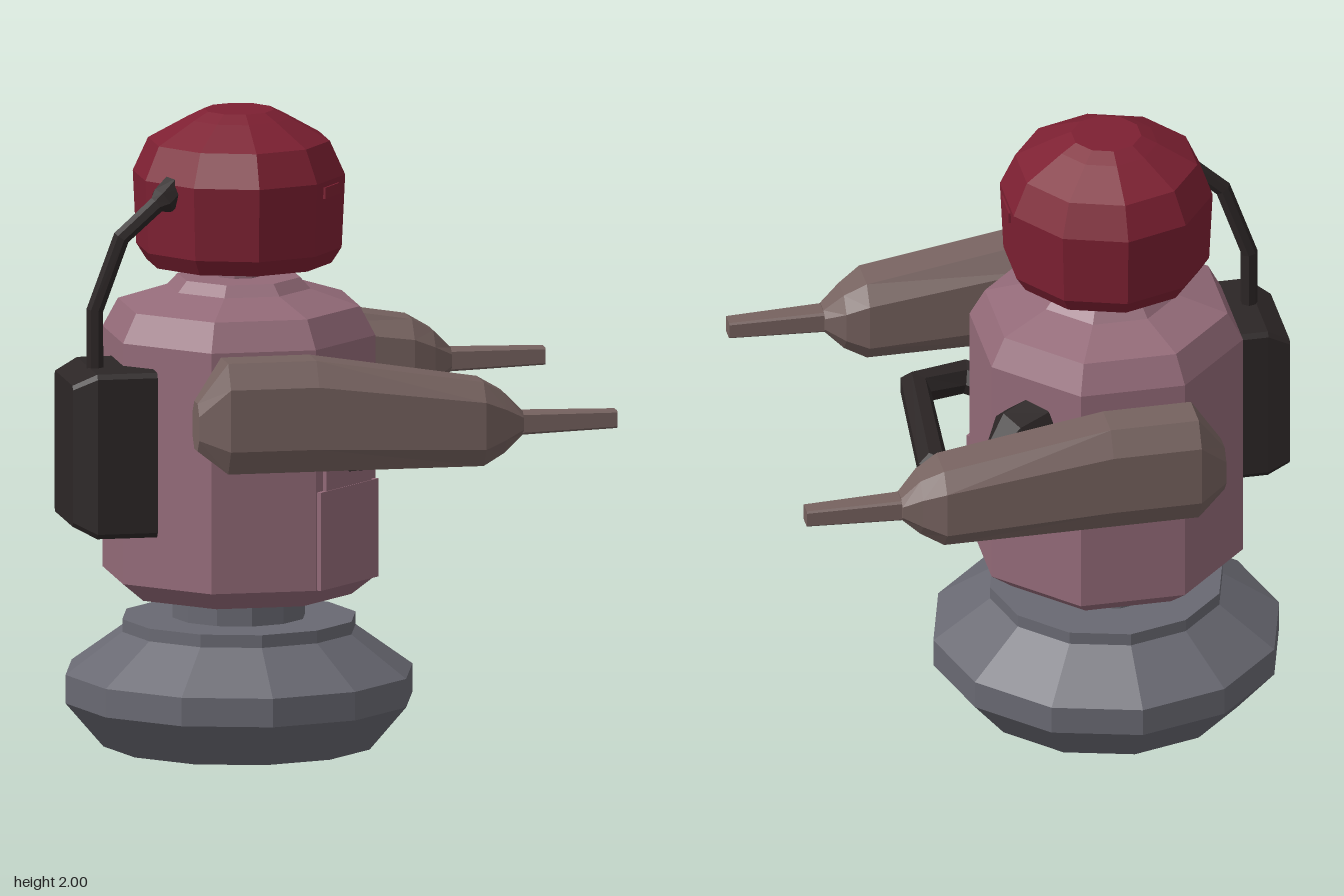
import * as THREE from 'three';

const CX = -0.25, CZ = -0.01; // axis of the upright body
const mat = (color) => new THREE.MeshStandardMaterial({ color, flatShading: true, side: THREE.DoubleSide });
const V = (x, y, z) => new THREE.Vector3(x, y, z);

function add(parent, name, geometry, material) {
  const mesh = new THREE.Mesh(geometry, material);
  mesh.name = name;
  parent.add(mesh);
  return mesh;
}

// Skin a row of equal-sized convex rings and close both ends, faces outwards
function loft(rings) {
  const n = rings[0].length, tris = [];
  for (let i = 0; i < rings.length - 1; i++) {
    for (let j = 0; j < n; j++) {
      const k = (j + 1) % n, a = rings[i], b = rings[i + 1];
      tris.push([a[j], a[k], b[k]], [a[j], b[k], b[j]]);
    }
  }
  const first = rings[0], last = rings[rings.length - 1];
  for (let j = 1; j < n - 1; j++) {
    tris.push([first[0], first[j + 1], first[j]], [last[0], last[j], last[j + 1]]);
  }
  const volume = tris.reduce((s, [a, b, c]) => s + a.dot(b.clone().cross(c)), 0);
  if (volume < 0) tris.forEach((t) => t.reverse());
  const g = new THREE.BufferGeometry().setFromPoints(tris.flat());
  g.computeVertexNormals();
  return g;
}

// Rectangle u0..u1 by v0..v1 with cut corners, as [u, v] pairs
function cutRect(u0, u1, v0, v1, cut = 0.25) {
  const a = (u1 - u0) * cut, b = (v1 - v0) * cut;
  return [[u0 + a, v0], [u1 - a, v0], [u1, v0 + b], [u1, v1 - b],
    [u1 - a, v1], [u0 + a, v1], [u0, v1 - b], [u0, v0 + b]];
}
const sectionX = (x, y0, y1, z0, z1, cut) => cutRect(y0, y1, z0, z1, cut).map(([y, z]) => V(x, y, z));
const sectionZ = (z, x0, x1, y0, y1, cut) => cutRect(x0, x1, y0, y1, cut).map(([x, y]) => V(x, y, z));

// Hose with sharp bends; rows are [x, y, z, radius]
function hose(rows, ref, sides = 7) {
  const p = rows.map(([x, y, z]) => V(x, y, z));
  return loft(p.map((c, i) => {
    const d1 = p[Math.min(i + 1, p.length - 1)].clone().sub(c).normalize();
    const d0 = c.clone().sub(p[Math.max(i - 1, 0)]).normalize();
    const t = d0.add(d1).normalize();
    const u = ref.clone().cross(t).normalize(), v = t.clone().cross(u);
    return Array.from({ length: sides }, (_, j) => {
      const a = (j / sides) * Math.PI * 2;
      return c.clone().addScaledVector(u, Math.cos(a) * rows[i][3]).addScaledVector(v, Math.sin(a) * rows[i][3]);
    });
  }));
}

function turned(profile, sides, start = 0) {
  const g = new THREE.LatheGeometry(profile.map(([r, y]) => new THREE.Vector2(r, y)), sides, start);
  return g.translate(CX, 0, CZ);
}

// Thin box on an upright face; angle 0 faces +z, 90 faces +x
function plate(parent, name, material, angle, dist, y, w, h, d) {
  const m = add(parent, name, new THREE.BoxGeometry(w, h, d), material);
  const a = THREE.MathUtils.degToRad(angle);
  m.rotation.y = a;
  m.position.set(CX + Math.sin(a) * dist, y, CZ + Math.cos(a) * dist);
}

export function createModel() {
  const root = new THREE.Group();
  root.name = 'robot';
  const grey = mat(0x696972), mauve = mat(0x936a78), red = mat(0x7d2032);
  const brown = mat(0x76625f), dark = mat(0x2c2626);

  // Base with its waist
  add(root, 'base', turned([[0, 0], [0.43, 0], [0.55, 0.14], [0.55, 0.23], [0.37, 0.36],
    [0.37, 0.4], [0, 0.4]], 12), grey);
  add(root, 'waist', turned([[0.21, 0.38], [0.21, 0.5]], 12), grey);

  // Eight-sided torso; radii are measured to the flats
  const k = 1 / Math.cos(Math.PI / 8);
  add(root, 'torso', turned([[0, 0.48], [0.33, 0.48], [0.4, 0.54], [0.4, 1.3], [0.355, 1.39],
    [0.21, 1.44], [0.18, 1.475], [0, 1.475]].map(([r, y]) => [r * k, y]), 8, Math.PI / 8), mauve);
  plate(root, 'lowerChestPanel', mauve, 45, 0.4, 0.695, 0.32, 0.31, 0.03);
  plate(root, 'upperChestPanel', mauve, 45, 0.4, 0.935, 0.25, 0.17, 0.025);

  // Neck and helmet
  add(root, 'neck', turned([[0.073, 1.45], [0.073, 1.55]], 8, Math.PI / 8), mauve);
  add(root, 'helmet', turned([[0, 1.52], [0.29, 1.52], [0.322, 1.57], [0.333, 1.8], [0.285, 1.905],
    [0.16, 1.975], [0.11, 2], [0, 2]], 10), red);
  for (const angle of [90, 54]) plate(root, 'eyeSlot', red, angle, 0.312, 1.765, 0.11, 0.035, 0.02);

  // Arms with pointed nozzles, mirrored across the body
  const armParts = [
    ['forearm', [
      sectionX(-0.5, 1.03, 1.18, 0.52, 0.63), sectionX(-0.41, 0.96, 1.31, 0.475, 0.685, 0.22),
      sectionX(-0.13, 0.96, 1.31, 0.475, 0.685, 0.22), sectionX(0.4, 0.96, 1.225, 0.475, 0.685, 0.22),
      sectionX(0.47, 0.995, 1.185, 0.495, 0.655), sectionX(0.53, 1.05, 1.125, 0.535, 0.63)]],
    ['nozzle', [sectionX(0.52, 1.05, 1.12, 0.545, 0.62, 0.1), sectionX(0.83, 1.06, 1.115, 0.555, 0.61, 0.1)]],
    ['shoulder', [
      sectionZ(0.5, -0.45, -0.03, 0.98, 1.27), sectionZ(0.43, -0.44, -0.12, 1.01, 1.22),
      sectionZ(0.385, -0.41, -0.2, 1.03, 1.17)]],
  ];
  for (const side of [1, -1]) {
    const arm = new THREE.Group();
    arm.name = side > 0 ? 'leftSideArm' : 'rightSideArm';
    arm.position.z = -0.005;
    for (const [name, rings] of armParts) {
      add(arm, name, loft(rings.map((r) => r.map((p) => V(p.x, p.y, p.z * side)))), brown);
    }
    root.add(arm);
  }

  // Pack on the back, with its outer face bevelled
  const pack = [[-0.83, 0.745, 1.19, -0.035, 0.265], [-0.76, 0.71, 1.23, -0.04, 0.31], [-0.57, 0.71, 1.23, -0.04, 0.31]];
  add(root, 'backPack', loft(pack.map(([x, y0, y1, z0, z1]) => sectionX(x, y0, y1, z0, z1, 0.03))), dark);

  // Cable from pack to helmet
  add(root, 'headCable', hose([[-0.74, 1.18, 0.16, 0.027], [-0.74, 1.41, 0.16, 0.027],
    [-0.66, 1.64, 0.18, 0.027], [-0.55, 1.74, 0.185, 0.027], [-0.53, 1.75, 0.18, 0.045],
    [-0.48, 1.79, 0.15, 0.045]], V(0, 0, 1)), dark);

  // Hose looping across the chest, with a wide socket at one end
  add(root, 'chestHose', hose([[0.04, 0.95, 0.28, 0.055], [0.13, 0.965, 0.335, 0.055],
    [0.3, 0.985, 0.265, 0.055], [0.34, 0.97, -0.19, 0.055], [0.23, 0.985, -0.33, 0.055],
    [0.11, 1.11, -0.31, 0.06]], V(0, 1, 0)), dark);
  add(root, 'hoseSocket', hose([[0.02, 1.13, -0.27, 0.1], [0.1, 1.12, -0.31, 0.095],
    [0.15, 1.08, -0.33, 0.06]], V(0, 1, 0)), dark);

  return root;
}
